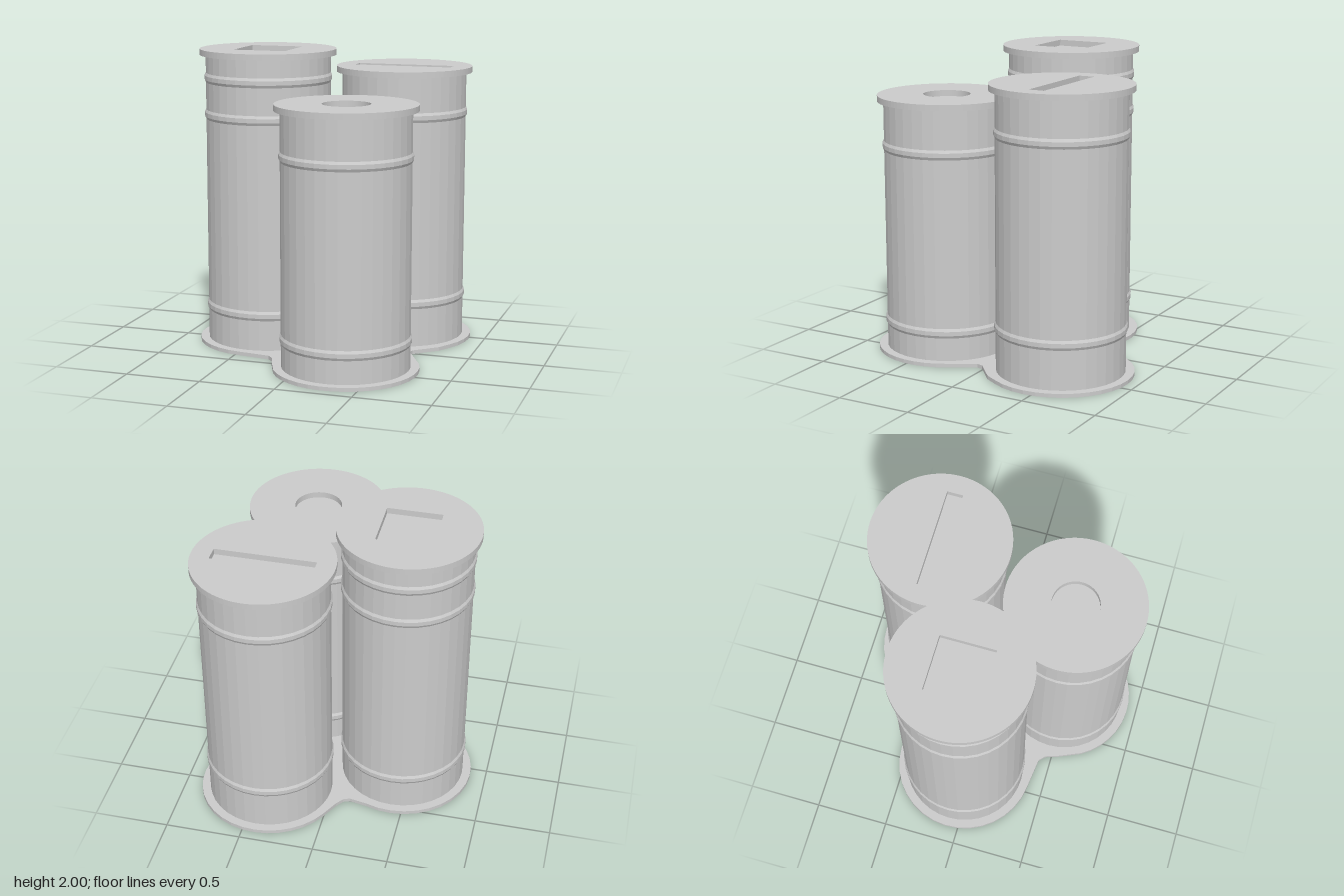
import * as THREE from 'three';

const BODY_R = 0.418, LID_R = 0.457, LID_H = 0.04, BASE_H = 0.025, BASE_R = 0.475;
const mat = new THREE.MeshStandardMaterial({ color: 0xcccccc });
const flat = new THREE.MeshStandardMaterial({ color: 0xcccccc, flatShading: true });

// Three bins: position, top height, heights of the bands, shape of the lid opening
const bins = [
  { name: 'tallBin', x: -0.42, z: -0.08, top: 2, bands: [0.26, 1.565, 1.81], hole: rectHole(0.36, 0.36) },
  { name: 'middleBin', x: 0.42, z: -0.46, top: 1.875, bands: [0.315, 1.57], hole: rectHole(0.66, 0.105) },
  { name: 'shortBin', x: 0.295, z: 0.46, top: 1.72, bands: [0.21, 1.39], hole: roundHole(0.155) },
];

function rectHole(w, d) {
  return new THREE.Path([[-1, -1], [-1, 1], [1, 1], [1, -1]].map(([a, b]) => new THREE.Vector2(a * w / 2, b * d / 2)));
}

function roundHole(r) {
  return new THREE.Path().absarc(0, 0, r, 0, Math.PI * 2, true);
}

function addMesh(parent, name, geometry, material) {
  const mesh = new THREE.Mesh(geometry, material);
  mesh.name = name;
  parent.add(mesh);
  return mesh;
}

// Horizontal plate: the shape's y becomes z, its underside lies at y
function plate(shape, height, y, curveSegments = 32) {
  return new THREE.ExtrudeGeometry(shape, { depth: height, bevelEnabled: false, curveSegments })
    .rotateX(Math.PI / 2).translate(0, y + height, 0);
}

// Drum profile with raised bands, closed at top and bottom
function bodyGeometry(top, bands) {
  const pts = [[0, BASE_H], [BODY_R, BASE_H]];
  for (const y of bands) {
    pts.push([BODY_R, y - 0.032], [BODY_R + 0.009, y - 0.014], [BODY_R + 0.009, y + 0.014], [BODY_R, y + 0.032]);
  }
  pts.push([BODY_R, top], [0, top]);
  return new THREE.LatheGeometry(pts.map(([r, y]) => new THREE.Vector2(r, y)), 36);
}

// Trefoil outline: an arc round each bin, joined by short necks
function baseShape() {
  const lobes = [
    { bin: bins[0], from: 95, to: 290, neck: [[-0.14, -0.505], [-0.1, -0.52], [-0.06, -0.57]] },
    { bin: bins[1], from: 208, to: 392, neck: [[0.77, -0.12], [0.69, -0.05], [0.62, 0.01], [0.61, 0.05], [0.65, 0.12]] },
    { bin: bins[2], from: -21, to: 150, neck: [[-0.18, 0.55], [-0.21, 0.46], [-0.25, 0.42], [-0.33, 0.41]] },
  ];
  const pts = [];
  for (const { bin, from, to, neck } of lobes) {
    for (let i = 0; i <= 18; i++) {
      const a = THREE.MathUtils.degToRad(from + (to - from) * i / 18);
      pts.push(new THREE.Vector2(bin.x + BASE_R * Math.cos(a), bin.z + BASE_R * Math.sin(a)));
    }
    neck.forEach(([x, z]) => pts.push(new THREE.Vector2(x, z)));
  }
  return new THREE.Shape(pts);
}

export function createModel() {
  const model = new THREE.Group();
  model.name = 'recyclingBins';
  addMesh(model, 'basePlate', plate(baseShape(), BASE_H, 0), mat);

  for (const { name, x, z, top, bands, hole } of bins) {
    const bin = new THREE.Group();
    bin.name = name;
    bin.position.set(x, 0, z);
    addMesh(bin, 'body', bodyGeometry(top - LID_H, bands), flat);

    // Overhanging lid with its opening
    const disc = new THREE.Shape().absarc(0, 0, LID_R, 0, Math.PI * 2, false);
    disc.holes.push(hole);
    addMesh(bin, 'lid', plate(disc, LID_H, top - LID_H, 48), mat);
    model.add(bin);
  }
  return model;
}
